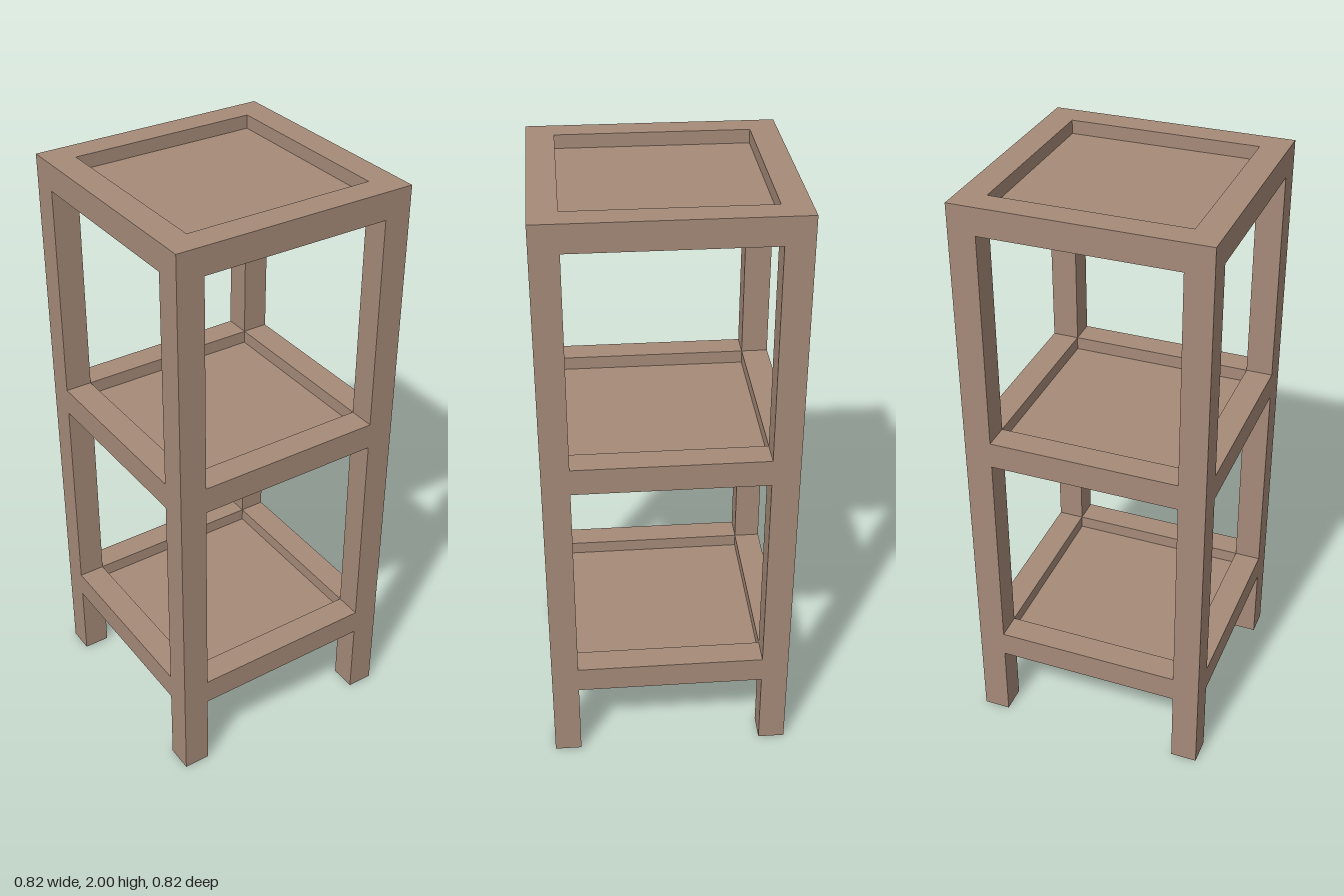
import * as THREE from 'three';

const U = 1 / 11; // timber thickness; every size is a multiple of it

export function createModel() {
  const group = new THREE.Group();
  group.name = 'shelfStand';
  const wood = new THREE.MeshStandardMaterial({ color: 0xa58a78 });
  wood.name = 'wood';

  // Box sized and centred in timber units, with y measured at its base
  function box(name, w, h, d, x, y, z, parent) {
    const mesh = new THREE.Mesh(new THREE.BoxGeometry(w * U, h * U, d * U), wood);
    mesh.position.set(x * U, (y + h / 2) * U, z * U);
    mesh.name = name;
    parent.add(mesh);
  }

  // Four square corner legs
  for (const [xName, sx] of [['Left', 1], ['Right', -1]]) {
    for (const [zName, sz] of [['front', 1], ['back', -1]]) {
      box(`${zName}${xName}Leg`, 1, 22, 1, sx * 4, 0, sz * 4, group);
    }
  }

  // Three shelves: rails between the legs around a recessed panel, flush below
  for (const [name, y] of [['lowerShelf', 3], ['middleShelf', 12], ['topShelf', 21]]) {
    const shelf = new THREE.Group();
    shelf.name = name;
    box('panel', 7, 0.5, 7, 0, y, 0, shelf);
    box('frontRail', 7, 1, 1, 0, y, 4, shelf);
    box('backRail', 7, 1, 1, 0, y, -4, shelf);
    box('leftRail', 1, 1, 7, 4, y, 0, shelf);
    box('rightRail', 1, 1, 7, -4, y, 0, shelf);
    group.add(shelf);
  }

  return group;
}
